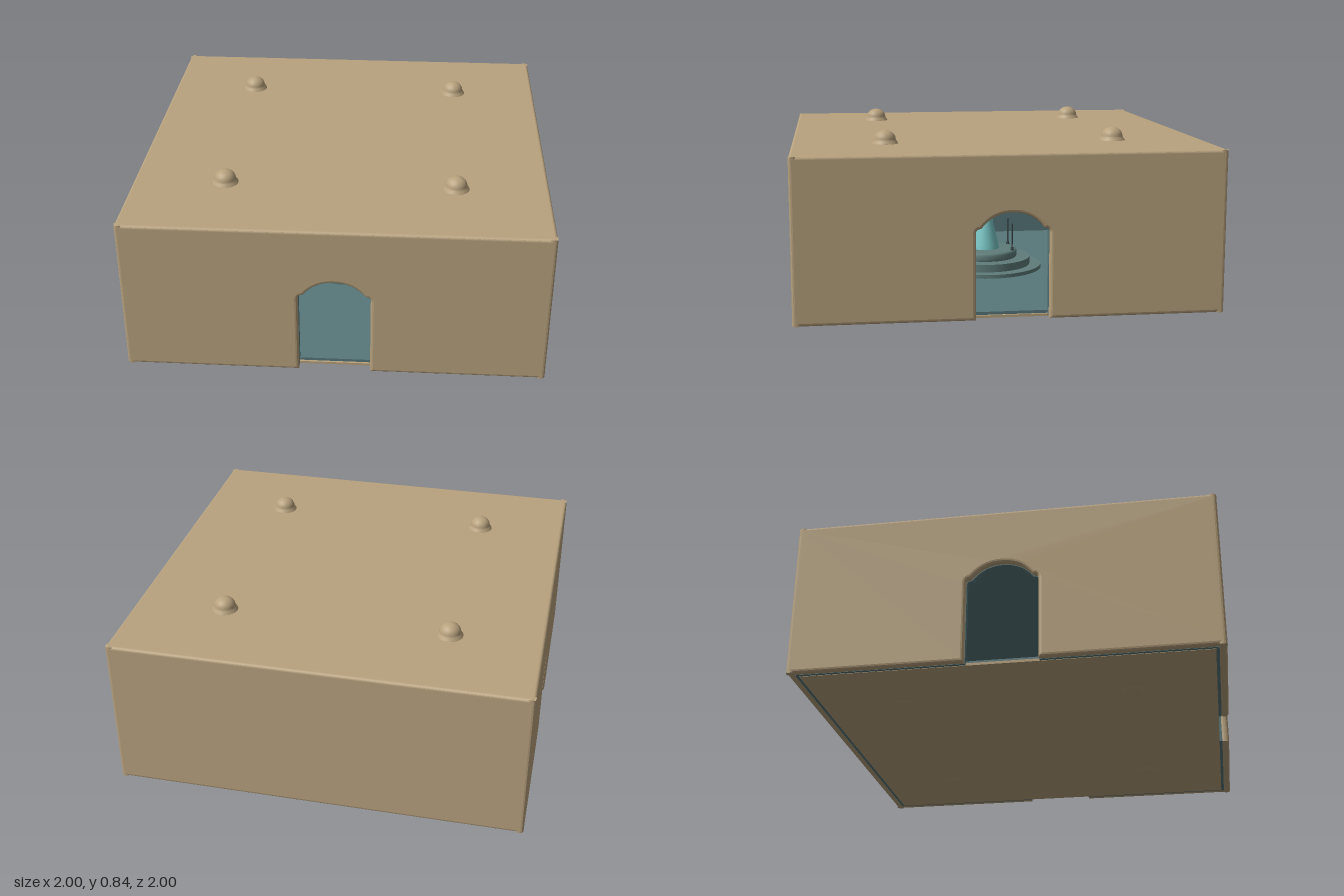
import * as THREE from 'three';
import { RoundedBoxGeometry } from 'three/addons/geometries/RoundedBoxGeometry.js';

const mat = (color) => new THREE.MeshStandardMaterial({ color });
const sand = mat(0xb8a27e);
const teal = mat(0x58777a);
const stone = mat(0x5f7d7a);
const aqua = mat(0x78c4c4);
const dark = mat(0x3a4648);

function add(parent, name, geometry, material, x = 0, y = 0, z = 0) {
  const mesh = new THREE.Mesh(geometry, material);
  mesh.name = name;
  mesh.position.set(x, y, z);
  parent.add(mesh);
  return mesh;
}

// Wall outline, optionally notched by a shouldered arch doorway
function wallShape(halfWidth, bottom, top, door) {
  const s = new THREE.Shape();
  s.moveTo(halfWidth, bottom);
  s.lineTo(halfWidth, top);
  s.lineTo(-halfWidth, top);
  s.lineTo(-halfWidth, bottom);
  if (door) {
    s.lineTo(-0.17, bottom);
    s.lineTo(-0.17, 0.41);
    s.quadraticCurveTo(-0.17, 0.435, -0.145, 0.435);
    s.quadraticCurveTo(-0.09, 0.508, 0, 0.508);
    s.quadraticCurveTo(0.09, 0.508, 0.145, 0.435);
    s.quadraticCurveTo(0.17, 0.435, 0.17, 0.41);
    s.lineTo(0.17, bottom);
  }
  return s;
}

// Sandy outer skin with soft edges and a teal inner lining
function createWall(name, angle, door) {
  const wall = new THREE.Group();
  wall.name = name;
  const skin = new THREE.ExtrudeGeometry(wallShape(1, 0.01, 0.78, door), {
    depth: 0.01, bevelThickness: 0.015, bevelSize: 0.015, bevelOffset: -0.015,
    bevelSegments: 3, curveSegments: 10,
  });
  add(wall, 'outerSkin', skin, sand, 0, 0, 0.975);
  const lining = new THREE.ExtrudeGeometry(wallShape(0.96, 0.012, 0.75, door), {
    depth: 0.035, bevelEnabled: false, curveSegments: 10,
  });
  add(wall, 'innerLining', lining, teal, 0, 0, 0.93);
  wall.rotation.y = angle;
  return wall;
}

// Round pillar of stacked drums: foot below the floor, domed tip above the roof
function createPillar(x, z) {
  const pts = [[0, 0], [0.045, 0], [0.06, 0.015], [0.08, 0.03], [0.08, 0.06]];
  for (let i = 0; i <= 40; i++) {
    const t = i / 40;
    pts.push([0.056 + 0.008 * Math.abs(Math.sin(t * Math.PI * 8)), 0.07 + t * 0.68]);
  }
  pts.push([0.07, 0.77], [0.062, 0.783], [0.054, 0.795]);
  for (let i = 0; i <= 8; i++) {
    const a = (i / 8) * Math.PI / 2;
    pts.push([0.052 * Math.cos(a), 0.8 + 0.044 * Math.sin(a)]);
  }
  const geo = new THREE.LatheGeometry(pts.map(([r, y]) => new THREE.Vector2(Math.max(r, 0), y)), 24);
  const pillar = new THREE.Group();
  add(pillar, 'pillar', geo, sand, x, 0, z);
  return pillar.children[0];
}

// Stepped round platform carrying a cone and slender posts
function createShrine() {
  const shrine = new THREE.Group();
  shrine.name = 'shrine';
  const steps = [[0.3, 0.02, 0.055], [0.24, 0.055, 0.095]];
  for (const [r, y0, y1] of steps) {
    add(shrine, 'step', new THREE.CylinderGeometry(r, r, y1 - y0, 48), stone, 0, (y0 + y1) / 2, 0);
  }
  const rim = [[0, 0.09], [0.165, 0.09], [0.17, 0.1], [0.17, 0.125], [0.163, 0.135], [0.15, 0.138], [0, 0.138]];
  add(shrine, 'platform', new THREE.LatheGeometry(rim.map((p) => new THREE.Vector2(...p)), 48), stone);
  const cone = [[0.076, 0.138], [0.072, 0.16], [0.04, 0.29], [0.014, 0.405], [0.007, 0.422], [0, 0.426]];
  add(shrine, 'cone', new THREE.LatheGeometry(cone.map((p) => new THREE.Vector2(...p)), 32), aqua);
  for (const x of [-0.08, 0.08]) {
    for (const z of [-0.135, 0.135]) {
      add(shrine, 'post', new THREE.CylinderGeometry(0.004, 0.004, 0.15, 8), dark, x, 0.205, z);
      add(shrine, 'postBase', new THREE.CylinderGeometry(0.007, 0.01, 0.016, 10), dark, x, 0.144, z);
    }
  }
  return shrine;
}

export function createModel() {
  const model = new THREE.Group();
  model.name = 'pavilion';

  // Three walls with doorways, a plain one at the back
  model.add(createWall('frontWall', 0, true));
  model.add(createWall('leftWall', Math.PI / 2, true));
  model.add(createWall('backWall', Math.PI, false));
  model.add(createWall('rightWall', -Math.PI / 2, true));

  // Roof and floor slabs, each with a teal inside face
  add(model, 'roof', new RoundedBoxGeometry(2, 0.05, 2, 3, 0.015), sand, 0, 0.755, 0);
  add(model, 'ceiling', new THREE.BoxGeometry(1.88, 0.02, 1.88), teal, 0, 0.725, 0);
  add(model, 'base', new THREE.BoxGeometry(1.9, 0.012, 1.9), sand, 0, 0.016, 0);
  add(model, 'floor', new THREE.BoxGeometry(1.88, 0.014, 1.88), teal, 0, 0.029, 0);

  for (const x of [-0.555, 0.555]) {
    for (const z of [-0.555, 0.555]) model.add(createPillar(x, z));
  }
  model.add(createShrine());
  return model;
}
